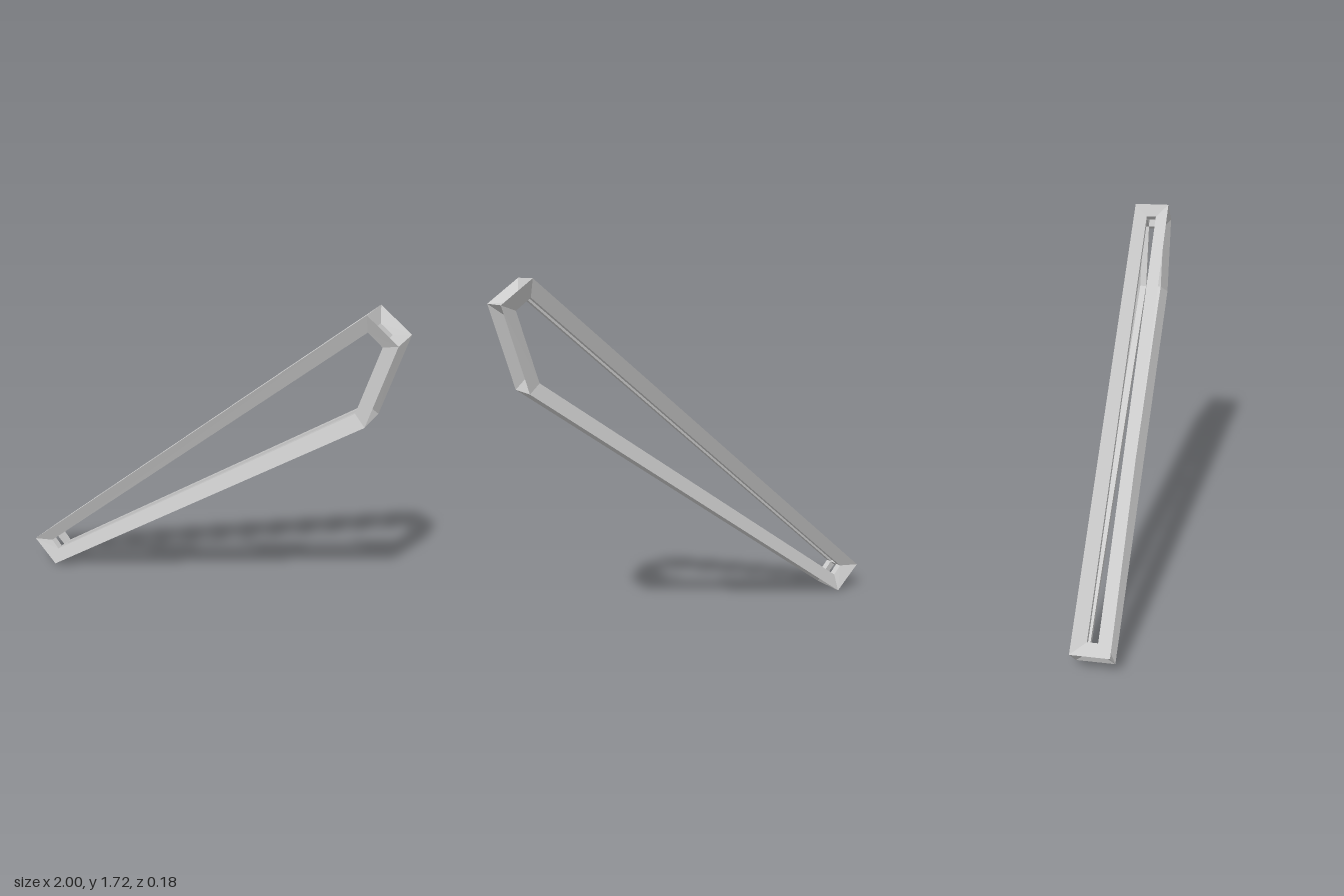
import * as THREE from 'three';

// Frame outline, counter-clockwise: outer corners and opening corners
const OUTER = [[-1, 0.13], [-0.87, 0], [0.885, 1.228], [0.998, 1.612], [0.853, 1.722]];
const INNER = [[-0.906, 0.13], [-0.866, 0.084], [0.827, 1.27], [0.922, 1.586], [0.853, 1.64]];
const Z_OUT = 0.09, Z_MID = 0.058, Z_IN = 0.025, INSET = 0.032;

// Frame around one face: bevelled outer faces, then walls down to the inner shell
function ring(name, outer, inset, inner, material) {
  const pos = [];
  const quad = (a, b, c, d) => pos.push(...a, ...b, ...c, ...a, ...c, ...d);
  outer.forEach((_, i) => {
    const j = (i + 1) % outer.length;
    quad(outer[i], outer[j], inset[j], inset[i]);
    quad(inset[i], inset[j], inner[j], inner[i]);
  });
  const geo = new THREE.BufferGeometry();
  geo.setAttribute('position', new THREE.Float32BufferAttribute(pos, 3));
  geo.computeVertexNormals();
  const mesh = new THREE.Mesh(geo, material);
  mesh.name = name;
  return mesh;
}

export function createModel() {
  const group = new THREE.Group();
  group.name = 'hollowFrame';
  const material = new THREE.MeshStandardMaterial({ color: 0xcccccc, flatShading: true, side: THREE.DoubleSide });
  const at = (points, z) => points.map(([x, y]) => [x, y, z]);

  // Front and back five-sided frames
  for (const s of [1, -1]) {
    const loops = [at(OUTER, s * Z_OUT), at(INNER, s * Z_MID), at(INNER, s * Z_IN)];
    if (s < 0) loops.forEach((l) => l.reverse());
    group.add(ring(s > 0 ? 'frontFrame' : 'backFrame', ...loops, material));
  }

  // Slotted rectangular frames along each edge of the outline
  const mid = OUTER.map(([x, y], i) => new THREE.Vector2((x + INNER[i][0]) / 2, (y + INNER[i][1]) / 2));
  const names = ['lowerEndFrame', 'undersideFrame', 'upperEndFrame', 'tipFrame', 'topFrame'];
  names.forEach((name, i) => {
    const j = (i + 1) % OUTER.length;
    const step = mid[j].clone().sub(mid[i]).setLength(INSET);
    const a = mid[i].clone().add(step).toArray();
    const b = mid[j].clone().sub(step).toArray();
    const rect = (p, q, z) => [[...p, -z], [...q, -z], [...q, z], [...p, z]];
    group.add(ring(name, rect(OUTER[i], OUTER[j], Z_OUT), rect(a, b, Z_IN), rect(INNER[i], INNER[j], Z_IN), material));
  });
  return group;
}
